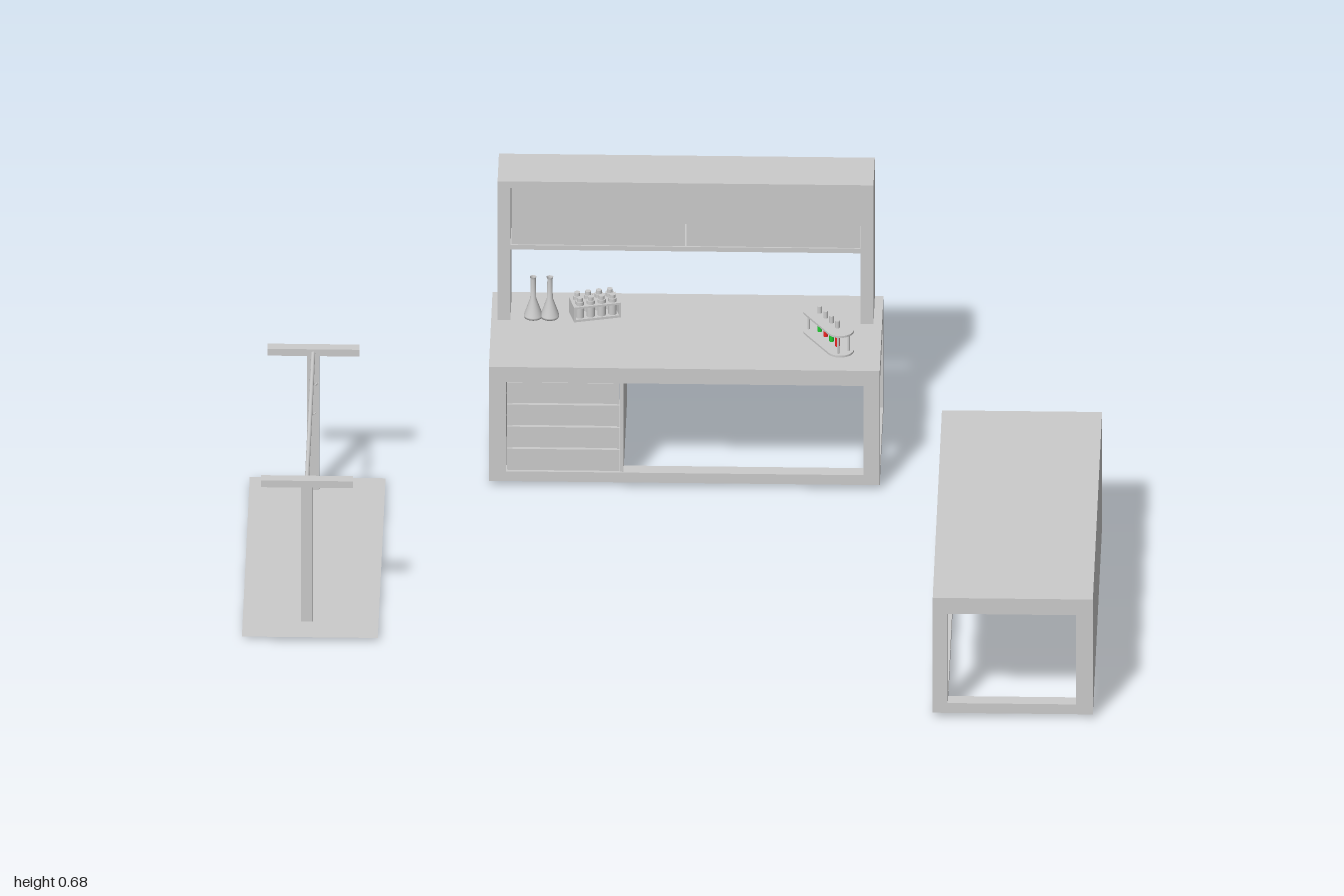
import * as THREE from 'three';

const grey = new THREE.MeshStandardMaterial({ color: 0xcccccc, side: THREE.DoubleSide });
const red = new THREE.MeshStandardMaterial({ color: 0xee2222 });
const green = new THREE.MeshStandardMaterial({ color: 0x22cc33 });

function add(parent, name, geometry, material = grey) {
  const mesh = new THREE.Mesh(geometry, material);
  mesh.name = name;
  parent.add(mesh);
  return mesh;
}

// Box given by its limits on each axis
function box(parent, name, x0, x1, y0, y1, z0, z1) {
  const mesh = add(parent, name, new THREE.BoxGeometry(x1 - x0, y1 - y0, z1 - z0));
  mesh.position.set((x0 + x1) / 2, (y0 + y1) / 2, (z0 + z1) / 2);
  return mesh;
}

function cylinder(parent, name, r, y0, y1, x, z, material) {
  const mesh = add(parent, name, new THREE.CylinderGeometry(r, r, y1 - y0, 16), material);
  mesh.position.set(x, (y0 + y1) / 2, z);
  return mesh;
}

function group(parent, name, x = 0, y = 0, z = 0) {
  const g = new THREE.Group();
  g.name = name;
  g.position.set(x, y, z);
  parent.add(g);
  return g;
}

// Desk with drawers and an open frame at the other end
function buildBench(parent) {
  const g = group(parent, 'workbench');
  const back = -0.748, front = -0.377;
  box(g, 'worktop', -0.44, 0.475, 0.275, 0.315, back, front);
  for (const [x0, x1] of [[-0.44, -0.4], [0.437, 0.475]]) {
    box(g, 'frontLeg', x0, x1, 0.012, 0.275, front - 0.035, front);
    box(g, 'backLeg', x0, x1, 0.012, 0.275, back, back + 0.035);
    box(g, 'sideRail', x0, x1, 0.012, 0.038, back + 0.035, front - 0.035);
  }
  box(g, 'frontRail', -0.4, 0.437, 0.012, 0.038, front - 0.035, front);

  // Drawer cabinet, open at the back
  box(g, 'cabinetSide', -0.133, -0.125, 0.038, 0.275, back + 0.01, front - 0.004);
  box(g, 'cabinetFloor', -0.4, -0.125, 0.03, 0.038, back + 0.01, front - 0.035);
  for (let i = 0; i < 4; i++) {
    const y = 0.04 + i * 0.0587;
    box(g, 'drawerFront', -0.398, -0.134, y, y + 0.056, front - 0.014, front - 0.004);
    box(g, 'drawerSide', -0.41, -0.402, y, y + 0.056, back + 0.035, front - 0.035);
    if (i) box(g, 'drawerPull', -0.385, -0.14, y - 0.006, y + 0.002, front - 0.004, front + 0.005);
  }
}

// Overhead cupboard standing on the bench
function buildHutch(parent) {
  const g = group(parent, 'hutch');
  const back = -0.747, front = -0.61;
  box(g, 'leftUpright', 0.425, 0.455, 0.315, 0.665, back, front);
  box(g, 'rightUpright', -0.425, -0.395, 0.315, 0.665, back, front);
  box(g, 'top', -0.425, 0.455, 0.665, 0.683, back, front);
  box(g, 'cupboardFloor', -0.395, 0.425, 0.5, 0.512, back, front - 0.004);
  box(g, 'backPanel', -0.395, 0.425, 0.512, 0.665, back + 0.014, back + 0.02);
  for (const y of [0.512, 0.57, 0.628])
    box(g, 'backStrip', -0.395, 0.425, y, y + 0.037, back + 0.002, back + 0.014);
  box(g, 'rightDoor', -0.393, 0.013, 0.512, 0.664, front - 0.018, front - 0.008);
  box(g, 'leftDoor', 0.017, 0.423, 0.512, 0.664, front - 0.018, front - 0.008);
  for (const x of [0.009, 0.021])
    box(g, 'doorHandle', x - 0.003, x + 0.003, 0.518, 0.665, front - 0.008, front);
}

// Second desk, turned sideways, with a solid panel on its left
function buildSideDesk(parent) {
  const g = group(parent, 'sideDesk');
  const x0 = 0.625, x1 = 1, z0 = -0.183, z1 = 0.745;
  box(g, 'worktop', x0, x1, 0.275, 0.317, z0, z1);
  box(g, 'modestyPanel', 0.982, x1, 0.012, 0.275, z0, z1);
  for (const [a, b] of [[z0, z0 + 0.035], [z1 - 0.035, z1]]) {
    box(g, 'leg', x0, x0 + 0.035, 0.012, 0.275, a, b);
    box(g, 'innerLeg', 0.96, 0.982, 0.012, 0.275, a, b);
    box(g, 'endRail', x0 + 0.035, 0.96, 0.012, 0.038, a, b);
  }
  box(g, 'longRail', x0, x0 + 0.035, 0.012, 0.038, z0 + 0.035, z1 - 0.035);
  box(g, 'cabinet', 0.655, 0.981, 0, 0.274, -0.148, 0.065);
}

// Mat with two T-shaped posts joined by a rod that carries hooks
function buildHangingStand(parent) {
  const g = group(parent, 'hangingStand');
  const mat = add(g, 'floorMat', new THREE.PlaneGeometry(0.318, 0.79));
  mat.rotation.x = -Math.PI / 2;
  mat.position.set(-0.841, 0.01, 0.007);
  for (const z of [-0.333, 0.318]) {
    box(g, 'post', -0.864, -0.836, 0.01, 0.37, z - 0.007, z + 0.007);
    box(g, 'crossBar', -0.957, -0.742, 0.369, 0.387, z - 0.013, z + 0.013);
  }
  const rod = cylinder(g, 'rod', 0.005, 0, 0.64, -0.85, 0);
  rod.rotation.x = Math.PI / 2;
  rod.position.set(-0.85, 0.376, -0.008);
  for (const z of [-0.08, -0.225]) {
    const path = new THREE.CatmullRomCurve3([[0, 0.375], [0, 0.352], [0.006, 0.343], [0.013, 0.35]]
      .map(([x, y]) => new THREE.Vector3(-0.85 + x, y, z)));
    add(g, 'hook', new THREE.TubeGeometry(path, 12, 0.002, 6));
  }
}

// Rounded rack with coloured test tubes
function buildTubeRack(parent) {
  const g = group(parent, 'testTubeRack', 0.352, 0.317, -0.517);
  g.rotation.y = -1.03;
  const r = 0.032, h = 0.055;
  const outline = new THREE.Shape();
  outline.absarc(h, 0, r, -Math.PI / 2, Math.PI / 2);
  outline.absarc(-h, 0, r, Math.PI / 2, Math.PI * 1.5);
  outline.closePath();
  for (const y of [0, 0.052]) {
    const plate = add(g, 'rackPlate', new THREE.ExtrudeGeometry(outline, { depth: 0.005, bevelEnabled: false }));
    plate.rotation.x = -Math.PI / 2;
    plate.position.y = y;
  }
  for (const x of [-0.07, 0.07])
    for (const z of [-0.014, 0.014]) cylinder(g, 'rackPost', 0.003, 0, 0.054, x, z);
  for (let i = 0; i < 4; i++) {
    const x = -0.042 + i * 0.028;
    cylinder(g, 'testTube', 0.0055, 0.042, 0.075, x, 0);
    cylinder(g, 'tubeLiquid', 0.0055, 0.008, 0.042, x, 0, i % 2 ? red : green);
  }
}

// Small rack holding two rows of bottles
function buildBottleRack(parent) {
  const g = group(parent, 'bottleRack', -0.198, 0.316, -0.64);
  g.rotation.y = 0.25;
  box(g, 'rackBase', -0.056, 0.056, 0, 0.006, -0.028, 0.028);
  box(g, 'rackShelf', -0.056, 0.056, 0.034, 0.039, -0.028, 0.028);
  for (const x of [-0.056, 0.052]) box(g, 'rackEnd', x, x + 0.004, 0, 0.039, -0.028, 0.028);
  for (let i = 0; i < 4; i++)
    for (const z of [-0.014, 0.014]) {
      cylinder(g, 'bottle', 0.01, 0.006, 0.048, -0.039 + i * 0.026, z);
      cylinder(g, 'bottleCap', 0.007, 0.048, 0.057, -0.039 + i * 0.026, z);
    }
}

// Conical flasks
function buildFlasks(parent) {
  const profile = [[0, 0], [0.021, 0], [0.022, 0.006], [0.007, 0.05], [0.006, 0.1], [0.008, 0.106]]
    .map(([x, y]) => new THREE.Vector2(x, y));
  for (const x of [-0.342, -0.303])
    add(parent, 'flask', new THREE.LatheGeometry(profile, 24)).position.set(x, 0.315, -0.628);
}

export function createModel() {
  const model = new THREE.Group();
  model.name = 'laboratoryFurniture';
  [buildBench, buildHutch, buildSideDesk, buildHangingStand, buildTubeRack, buildBottleRack, buildFlasks]
    .forEach((build) => build(model));
  return model;
}
